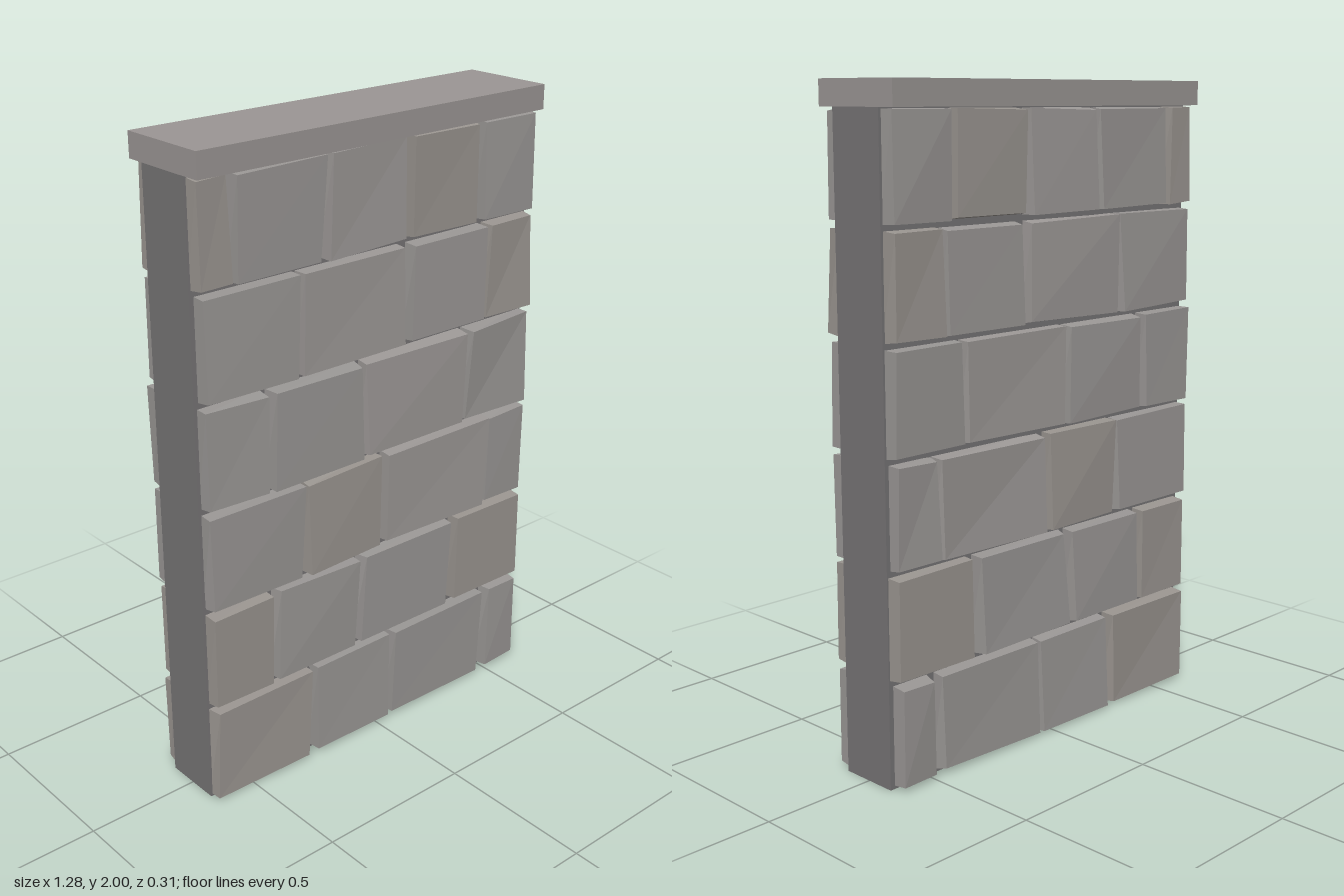
import * as THREE from 'three';

const CORE_W = 1.28, CORE_D = 0.19, TOP = 1.925;
const EDGE = 0.63, ROW_H = 0.305, ROW_STEP = 0.3215;

// Joints of each course, bottom course first. Each joint gives the right edge of
// one block and the left edge of the next: [right low, right high, left low, left high]
const COURSES = [
  [[-0.29, -0.27, -0.25, -0.245], [0.045, 0.055, 0.065, 0.075], [0.455, 0.47, 0.495, 0.51]],
  [[-0.42, -0.415, -0.395, -0.38], [-0.095, -0.08, -0.065, -0.045], [0.30, 0.315, 0.34, 0.345]],
  [[-0.305, -0.29, -0.27, -0.275], [0.01, 0.015, 0.04, 0.04], [0.45, 0.47, 0.47, 0.48]],
  [[-0.425, -0.415, -0.40, -0.39], [-0.065, -0.075, -0.04, -0.05], [0.35, 0.36, 0.37, 0.385]],
  [[-0.31, -0.295, -0.285, -0.28], [0.10, 0.095, 0.13, 0.14], [0.425, 0.43, 0.445, 0.455]],
  [[-0.525, -0.535, -0.51, -0.505], [-0.22, -0.195, -0.19, -0.18], [0.095, 0.10, 0.125, 0.125],
    [0.39, 0.39, 0.415, 0.42]],
];
// Stone tint of each block, course by course
const TINTS = ['1000', '1001', '0120', '0020', '0201', '10210'];

let seed = 7;
function jitter(amount) {
  seed = (seed * 16807) % 2147483647;
  return (seed / 2147483647 - 0.5) * 2 * amount;
}

// A rough block: square where it meets the core, uneven on its outer face
function blockGeometry(left, right, y0, y1, side) {
  const corners = {};
  for (const sx of [-1, 1]) for (const sy of [-1, 1]) {
    const edge = sx < 0 ? left : right;
    corners[`${sx},${sy}`] = [
      edge[sy < 0 ? 0 : 1],
      (sy < 0 ? y0 + 0.005 : y1 - 0.005) + jitter(0.005),
      side * (0.138 + jitter(0.007)),
    ];
  }
  const geo = new THREE.BoxGeometry(1, 1, 1).toNonIndexed();
  const p = geo.attributes.position;
  for (let i = 0; i < p.count; i++) {
    const sx = Math.sign(p.getX(i)), sy = Math.sign(p.getY(i));
    if (Math.sign(p.getZ(i)) === side) {
      p.setXYZ(i, ...corners[`${sx},${sy}`]);
    } else {
      const x = sx < 0 ? Math.min(...left) : Math.max(...right);
      p.setXYZ(i, x, sy < 0 ? y0 : y1, side * (CORE_D / 2 - 0.01));
    }
  }
  geo.computeVertexNormals();
  return geo;
}

export function createModel() {
  const material = (name, color) => {
    const m = new THREE.MeshStandardMaterial({ color });
    m.name = name;
    return m;
  };
  const mortar = material('mortar grey', 0x767475);
  const capStone = material('cap stone', 0x9b9694);
  const stones = [
    material('grey stone', 0x9a9795),
    material('warm stone', 0x9b9691),
    material('light stone', 0x9d9997),
  ];

  const wall = new THREE.Group();
  wall.name = 'stoneWall';
  const slab = (name, w, h, d, y, mat) => {
    const mesh = new THREE.Mesh(new THREE.BoxGeometry(w, h, d), mat);
    mesh.name = name;
    mesh.position.y = y;
    wall.add(mesh);
  };

  // Mortar core and cap
  slab('core', CORE_W, TOP, CORE_D, TOP / 2, mortar);
  slab('cap', CORE_W, 2 - TOP, 0.305, 1 + TOP / 2, capStone);

  // Courses of blocks on both faces
  for (const side of [1, -1]) {
    const face = new THREE.Group();
    face.name = side > 0 ? 'frontBlocks' : 'backBlocks';
    COURSES.forEach((joints, row) => {
      const y0 = 0.009 + row * ROW_STEP;
      for (let i = 0; i <= joints.length; i++) {
        const left = i === 0
          ? [-EDGE + jitter(0.006), -EDGE + jitter(0.006)] : joints[i - 1].slice(2);
        const right = i === joints.length
          ? [EDGE + jitter(0.006), EDGE + jitter(0.006)] : joints[i].slice(0, 2);
        const block = new THREE.Mesh(
          blockGeometry(left, right, y0, y0 + ROW_H, side), stones[+TINTS[row][i]]);
        block.name = `block${row + 1}_${i + 1}`;
        face.add(block);
      }
    });
    wall.add(face);
  }
  return wall;
}
